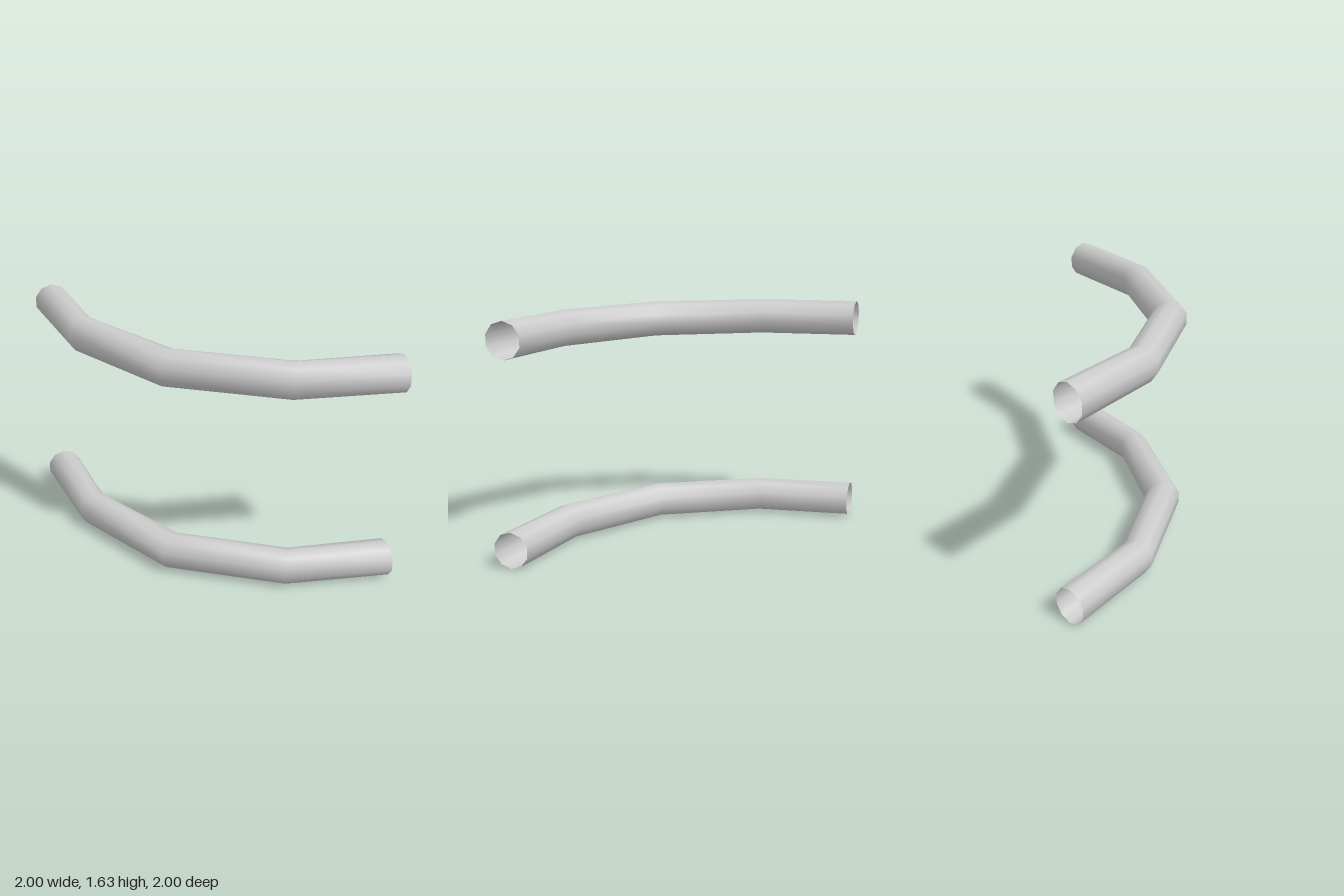
import * as THREE from 'three';

const SIDES = 10;
const RADIUS = 0.125;

// Mitre rings in plan: [outer x, outer z, inner x, inner z]
const half = [
  [-1, -1, -0.763, -1],
  [-0.888, -0.272, -0.689, -0.357],
];
const mirrored = half.map(([ox, oz, ix, iz]) => [-oz, -ox, -iz, -ix]).reverse();
const RINGS = [...half, [-0.463, 0.463, -0.298, 0.298], ...mirrored];

// Open ten-sided tube swept through the mitre rings
function railGeometry() {
  const positions = [];
  const index = [];
  RINGS.forEach(([ox, oz, ix, iz], i) => {
    for (let j = 0; j < SIDES; j++) {
      const a = ((j + 0.5) / SIDES) * Math.PI * 2;
      // 0 at the inner edge, 1 at the outer edge
      const t = 0.5 + (0.5 * Math.cos(a)) / Math.cos(Math.PI / SIDES);
      positions.push(ix + (ox - ix) * t, RADIUS * Math.sin(a), iz + (oz - iz) * t);
      if (i < RINGS.length - 1) {
        const p = i * SIDES + j;
        const q = i * SIDES + ((j + 1) % SIDES);
        index.push(p, p + SIDES, q, q, p + SIDES, q + SIDES);
      }
    }
  });
  const geometry = new THREE.BufferGeometry();
  geometry.setAttribute('position', new THREE.Float32BufferAttribute(positions, 3));
  geometry.setIndex(index);
  geometry.computeVertexNormals();
  return geometry;
}

export function createModel() {
  const group = new THREE.Group();
  group.name = 'curvedRails';
  const material = new THREE.MeshStandardMaterial({ color: 0xcccccc, side: THREE.DoubleSide });
  const geometry = railGeometry();

  // Two identical rails, one above the other
  for (const [name, y] of [['lowerRail', RADIUS], ['upperRail', 1.508]]) {
    const rail = new THREE.Mesh(geometry, material);
    rail.name = name;
    rail.position.y = y;
    group.add(rail);
  }
  return group;
}
